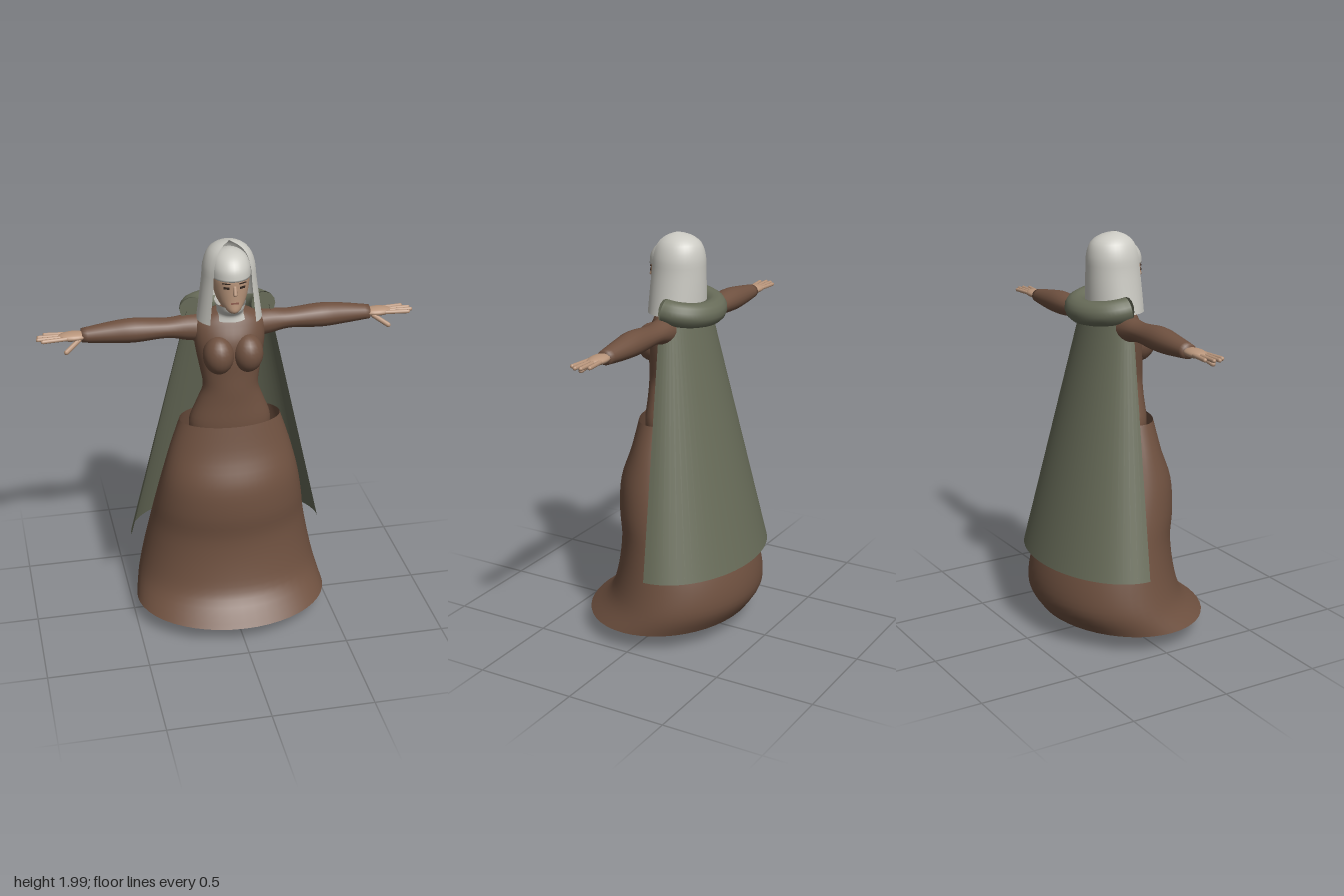
import * as THREE from 'three';

const mat = (name, color, side = THREE.FrontSide) => {
  const m = new THREE.MeshStandardMaterial({ color, side });
  m.name = name;
  return m;
};

// Smooth skin over rings [y, halfWidth, zFront, zBack, xCentre]; a0..a1 is the arc, 0 being the front
function loft(keys, { seg = 32, sub = 4, a0 = 0, a1 = Math.PI * 2, cap = false } = {}) {
  const rings = [];
  const n = keys.length - 1;
  const key = (i, c) => keys[Math.max(0, Math.min(n, i))][c] ?? 0;
  for (let k = 0; k <= n * sub; k++) {
    const i = Math.min(Math.floor(k / sub), n - 1), t = k / sub - i;
    rings.push([0, 1, 2, 3, 4].map((c) => {
      const p0 = key(i - 1, c), p1 = key(i, c), p2 = key(i + 1, c), p3 = key(i + 2, c);
      return p1 + 0.5 * t * (p2 - p0 + t * (2 * p0 - 5 * p1 + 4 * p2 - p3 + t * (3 * (p1 - p2) + p3 - p0)));
    }));
  }
  const closed = a1 - a0 > 6.28, cols = closed ? seg : seg + 1;
  const pos = [], idx = [];
  for (const [y, hx, zf, zb, cx] of rings) {
    for (let j = 0; j < cols; j++) {
      const a = a0 + (a1 - a0) * j / seg;
      pos.push(cx + hx * Math.sin(a), y, (zf + zb) / 2 + (zf - zb) / 2 * Math.cos(a));
    }
  }
  for (let i = 0; i < rings.length - 1; i++) {
    for (let j = 0; j < seg; j++) {
      const a = i * cols + j, b = i * cols + (j + 1) % cols;
      idx.push(a, b, b + cols, a, b + cols, a + cols);
    }
  }
  if (cap) {
    [0, rings.length - 1].forEach((r, top) => {
      const [y, , zf, zb, cx] = rings[r], c = pos.length / 3;
      pos.push(cx, y, (zf + zb) / 2);
      for (let j = 0; j < seg; j++) {
        const a = r * cols + j, b = r * cols + (j + 1) % cols;
        if (top) idx.push(c, a, b); else idx.push(c, b, a);
      }
    });
  }
  const g = new THREE.BufferGeometry();
  g.setAttribute('position', new THREE.Float32BufferAttribute(pos, 3));
  g.setIndex(idx);
  g.computeVertexNormals();
  return g;
}

// Rounded rod between two points
function rod(from, to, r) {
  const a = new THREE.Vector3(...from), b = new THREE.Vector3(...to);
  const d = b.clone().sub(a), g = new THREE.CapsuleGeometry(r, d.length() - r, 3, 8);
  g.applyQuaternion(new THREE.Quaternion().setFromUnitVectors(new THREE.Vector3(0, 1, 0), d.normalize()));
  return g.translate(...a.add(b).multiplyScalar(0.5).toArray());
}

const ball = (sx, sy, sz, x, y, z) => new THREE.SphereGeometry(1, 20, 14).scale(sx, sy, sz).translate(x, y, z);

export function createModel() {
  const model = new THREE.Group();
  model.name = 'cloakedWoman';
  const dress = mat('brownDress', 0x6f5140);
  const skirtCloth = mat('brownSkirt', 0x6f5140, THREE.DoubleSide);
  const cloak = mat('greenCloak', 0x686c59, THREE.DoubleSide);
  const linen = mat('paleLinen', 0xcbcac3, THREE.DoubleSide);
  const skin = mat('skin', 0xb8957b);
  const dark = mat('darkEyes', 0x33261f);
  const lips = mat('lips', 0x8f5f50);
  const add = (name, geometry, material, parent = model) => {
    const m = new THREE.Mesh(geometry, material);
    m.name = name;
    parent.add(m);
    return m;
  };

  // Dress: bodice and open, trailing skirt
  add('bodice', loft([
    [1.02, 0.2, 0.135, -0.1], [1.1, 0.2, 0.14, -0.1], [1.2, 0.162, 0.137, -0.08], [1.28, 0.135, 0.137, -0.06],
    [1.36, 0.145, 0.135, -0.08], [1.45, 0.162, 0.135, -0.1], [1.53, 0.172, 0.125, -0.11],
    [1.6, 0.168, 0.095, -0.1], [1.64, 0.12, 0.075, -0.08], [1.66, 0.07, 0.065, -0.06],
  ], { cap: true }), dress);
  for (const s of [-1, 1]) add('bust', ball(0.075, 0.095, 0.085, s * 0.07, 1.465, 0.1), dress);
  add('skirt', loft([
    [0.1, 0.485, 0.42, -0.35], [0.2, 0.46, 0.31, -0.41], [0.33, 0.43, 0.265, -0.405], [0.5, 0.395, 0.245, -0.35],
    [0.65, 0.37, 0.26, -0.28], [0.8, 0.34, 0.25, -0.21], [0.95, 0.3, 0.195, -0.15], [1.1, 0.25, 0.16, -0.12],
  ], { seg: 48 }), skirtCloth);

  // Cloak: half cone behind the body, with a thick rolled collar
  add('cape', loft([[0.4, 0.49, 0.24, -0.42], [1.65, 0.2, 0.09, -0.12]],
    { sub: 1, a0: Math.PI / 2, a1: Math.PI * 1.5 }), cloak);
  const arc = [];
  for (let i = 0; i <= 12; i++) {
    const s = Math.sin(Math.PI * i / 12), c = Math.cos(Math.PI * i / 12);
    arc.push(new THREE.Vector3(0.172 * c, 1.655 - 0.025 * s, -0.025 - 0.147 * s));
  }
  add('collar', new THREE.TubeGeometry(new THREE.CatmullRomCurve3(arc), 32, 0.06, 14), cloak);
  for (const s of [-1, 1]) {
    add('collarEnd', new THREE.CircleGeometry(0.06, 14).translate(s * 0.172, 1.655, -0.025), cloak);
  }

  // Head, nose and painted features
  const head = new THREE.Group();
  head.name = 'head';
  model.add(head);
  add('face', loft([
    [1.685, 0.025, 0.135, 0.05], [1.7, 0.045, 0.143, 0.0], [1.74, 0.07, 0.14, -0.04],
    [1.8, 0.086, 0.14, -0.07], [1.86, 0.09, 0.137, -0.085], [1.92, 0.075, 0.1, -0.07],
  ], { cap: true }), skin, head);
  add('nose', rod([0, 1.82, 0.136], [0, 1.78, 0.151], 0.01), skin, head);
  add('mouth', new THREE.BoxGeometry(0.036, 0.008, 0.008).translate(0, 1.738, 0.138), lips, head);
  for (const s of [-1, 1]) {
    const eye = add('eye', new THREE.BoxGeometry(0.028, 0.01, 0.008), dark, head);
    eye.position.set(s * 0.037, 1.813, 0.129);
    eye.rotation.y = s * 0.45;
    const brow = add('brow', new THREE.BoxGeometry(0.038, 0.005, 0.008), dark, head);
    brow.position.set(s * 0.038, 1.834, 0.128);
    brow.rotation.y = s * 0.45;
  }

  // Linen headwear: coif over the brow, wimple round the neck, veil open at the front
  add('coif', loft([
    [1.845, 0.096, 0.147, -0.09], [1.89, 0.094, 0.14, -0.09], [1.93, 0.078, 0.113, -0.07],
    [1.955, 0.048, 0.075, -0.04], [1.966, 0.01, 0.03, 0.0],
  ], { cap: true }), linen, head);
  add('wimple', loft([
    [1.625, 0.085, 0.1, -0.06], [1.655, 0.064, 0.1, -0.05], [1.685, 0.066, 0.125, -0.06], [1.71, 0.074, 0.13, -0.07],
  ]), linen, head);
  add('veil', loft([
    [1.62, 0.157, 0.145, -0.132], [1.72, 0.143, 0.14, -0.134], [1.82, 0.13, 0.132, -0.134],
    [1.89, 0.123, 0.125, -0.132], [1.95, 0.1, 0.105, -0.112], [1.985, 0.058, 0.065, -0.062],
    [2.0, 0.003, 0.013, 0.007],
  ], { seg: 28, sub: 3, a0: 0.78, a1: Math.PI * 2 - 0.78 }), linen, head);

  // Arms, hands, legs and shoes
  for (const s of [-1, 1]) {
    const side = s > 0 ? 'left' : 'right';
    const sleeve = [
      [0.1, 0.07, 0.05, -0.1, 1.56], [0.2, 0.062, 0.035, -0.09, 1.565], [0.3, 0.047, 0.03, -0.085, 1.57],
      [0.45, 0.058, 0.037, -0.09, 1.572], [0.56, 0.051, 0.025, -0.085, 1.57], [0.7, 0.034, 0.008, -0.068, 1.566],
    ].map(([x, h, f, b, y]) => [x, h, f, b, -s * y]);
    add(side + 'Sleeve', loft(sleeve, { seg: 20, cap: true }).rotateZ(-s * Math.PI / 2), dress);

    const hand = new THREE.Group();
    hand.name = side + 'Hand';
    model.add(hand);
    add('palm', ball(0.075, 0.021, 0.043, s * 0.74, 1.568, -0.025), skin, hand);
    [0.89, 0.91, 0.905, 0.875].forEach((tip, i) => {
      const z = 0.005 - i * 0.02;
      add('finger', rod([s * 0.77, 1.569, z], [s * tip, 1.569, z * 1.35 + 0.01], 0.01), skin, hand);
    });
    add('thumb', rod([s * 0.71, 1.56, 0.0], [s * 0.785, 1.515, 0.045], 0.012), skin, hand);

    add(side + 'Leg', loft([
      [0.08, 0.036, 0.0, -0.085, s * 0.14], [0.2, 0.038, 0.0, -0.085, s * 0.138],
      [0.38, 0.055, 0.025, -0.1, s * 0.13], [0.55, 0.056, 0.05, -0.07, s * 0.12],
      [0.8, 0.078, 0.08, -0.08, s * 0.105], [1.05, 0.09, 0.1, -0.09, s * 0.1],
    ], { seg: 20, cap: true }), skin);
    add(side + 'Shoe', loft([
      [0.01, 0.058, 0.165, -0.1, s * 0.143], [0.03, 0.064, 0.178, -0.107, s * 0.143],
      [0.055, 0.06, 0.14, -0.107, s * 0.142], [0.085, 0.052, 0.05, -0.102, s * 0.14],
      [0.12, 0.046, 0.012, -0.096, s * 0.14], [0.17, 0.043, 0.006, -0.092, s * 0.139],
    ], { seg: 24, cap: true }), dress);
  }
  return model;
}
